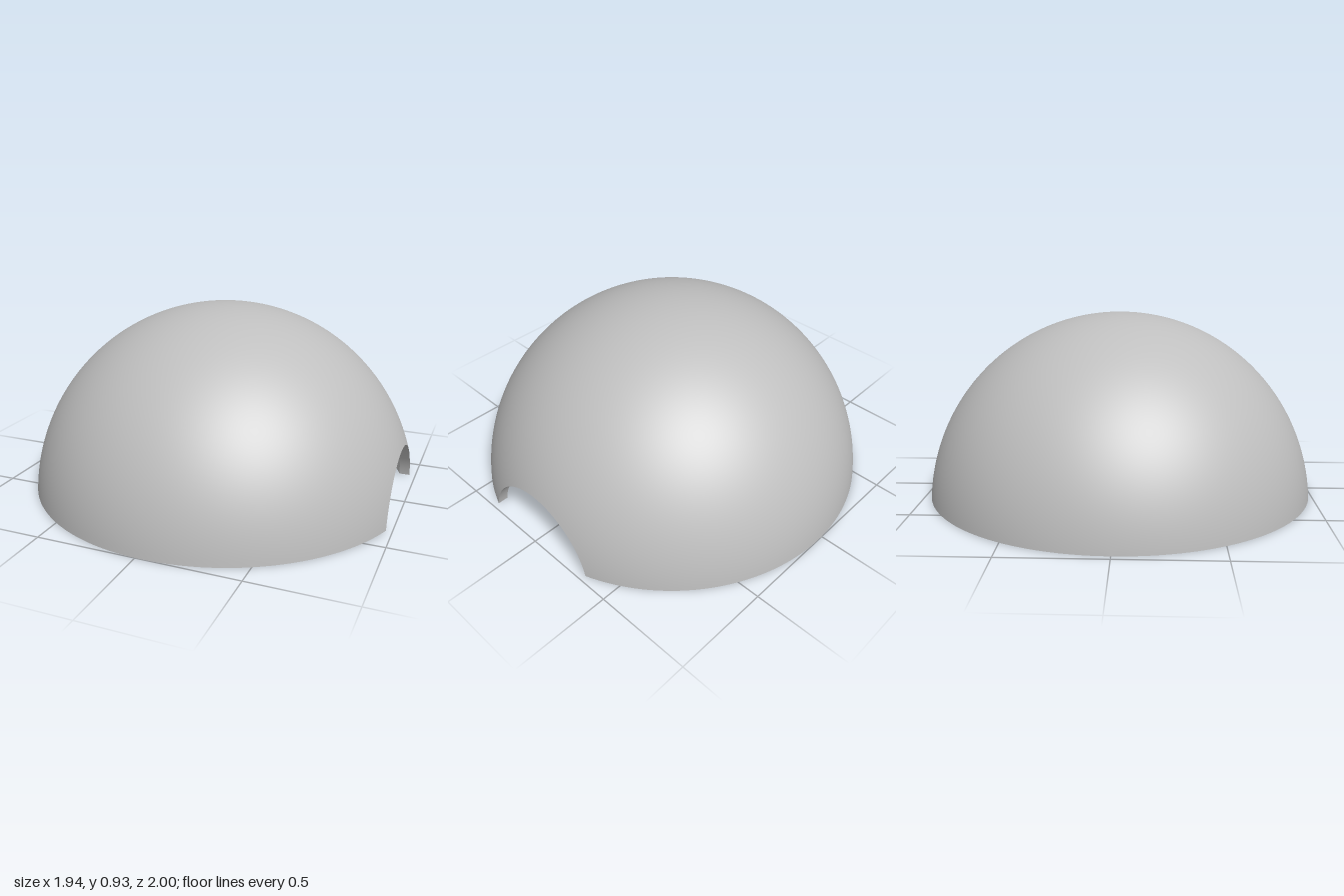
import * as THREE from 'three';

const CX = 0.03, CY = -0.067;      // sphere centre, just below the base plane
const R_OUT = 1.002, R_IN = 0.952; // dome wall
const HOLE = 0.347;                // radius of the round doorway along +x

const gray = new THREE.MeshStandardMaterial({ color: 0xbfbfbf });
gray.name = 'gray';

// Sweep an [x, radius] profile around the x axis, keeping only what lies above y = 0
function sweep(profile, seg = 96) {
  const pos = [], idx = [];
  for (const [x, r] of profile) {
    const start = Math.asin(Math.min(1, -CY / r));
    for (let j = 0; j <= seg; j++) {
      const phi = start + (Math.PI - 2 * start) * j / seg;
      pos.push(CX + x, CY + r * Math.sin(phi), r * Math.cos(phi));
    }
  }
  const w = seg + 1;
  for (let i = 0; i < profile.length - 1; i++) {
    for (let j = 0; j < seg; j++) {
      const a = i * w + j, b = a + 1, c = a + w, d = c + 1;
      idx.push(a, b, c, b, d, c);
    }
  }
  const geo = new THREE.BufferGeometry();
  geo.setAttribute('position', new THREE.Float32BufferAttribute(pos, 3));
  geo.setIndex(idx);
  geo.computeVertexNormals();
  return geo;
}

// Arc from the doorway edge to the far end of the dome
function arc(R, steps = 96) {
  const t0 = Math.asin(HOLE / R), t1 = Math.PI - Math.asin(-CY / R);
  return Array.from({ length: steps + 1 }, (_, i) => {
    const t = t0 + (t1 - t0) * i / steps;
    return [R * Math.cos(t), R * Math.sin(t)];
  });
}

export function createModel() {
  const model = new THREE.Group();
  const add = (name, geo, parent = model) => {
    const mesh = new THREE.Mesh(geo, gray);
    mesh.name = name;
    parent.add(mesh);
    return mesh;
  };

  // Dome skins and the doorway edge
  const outer = arc(R_OUT), inner = arc(R_IN);
  add('domeOuter', sweep(outer));
  add('domeInner', sweep(inner.slice().reverse()));
  add('doorwayEdge', sweep([inner[0], outer[0]]));

  // Flat underside of the wall, open at the doorway
  const ro = Math.sqrt(R_OUT ** 2 - CY ** 2), ri = Math.sqrt(R_IN ** 2 - CY ** 2);
  const half = Math.sqrt(HOLE ** 2 - CY ** 2);
  const ao = Math.asin(half / ro), ai = Math.asin(half / ri);
  const ring = new THREE.Shape();
  ring.absarc(0, 0, ro, ao, 2 * Math.PI - ao, false);
  ring.absarc(0, 0, ri, 2 * Math.PI - ai, ai, true);
  const rim = add('baseRim', new THREE.ShapeGeometry(ring, 96));
  rim.rotation.x = Math.PI / 2;
  rim.position.x = CX;

  // Mounting panel of tilted planks that follows the inside of the far wall
  const panel = new THREE.Group();
  panel.name = 'mountingPanel';
  panel.position.x = CX;
  model.add(panel);
  for (let i = -2; i <= 2; i++) {
    const holder = new THREE.Group();
    holder.name = 'plankHolder';
    holder.rotation.y = i * 0.135;
    panel.add(holder);
    const plank = add('plank', new THREE.BoxGeometry(0.04, 0.212, 0.132), holder);
    plank.position.set(-0.92, 0.115, 0);
    plank.rotation.z = -0.19;
  }

  // Pair of hooked clips, each with a pin hole near the top
  const clip = new THREE.Shape([
    [-0.93, 0.005], [-0.885, 0.005], [-0.845, 0.1], [-0.815, 0.01],
    [-0.775, 0.01], [-0.785, 0.12], [-0.8, 0.165], [-0.83, 0.195], [-0.9, 0.195],
  ].map(([x, y]) => new THREE.Vector2(x, y)));
  const pin = new THREE.Path();
  pin.absarc(-0.84, 0.15, 0.02, 0, 2 * Math.PI, true);
  clip.holes.push(pin);
  const clipGeo = new THREE.ExtrudeGeometry(clip, { depth: 0.065, bevelEnabled: false });
  for (const z of [-0.1, 0.1]) {
    add('clip', clipGeo).position.set(CX, 0, z - 0.0325);
  }

  return model;
}
